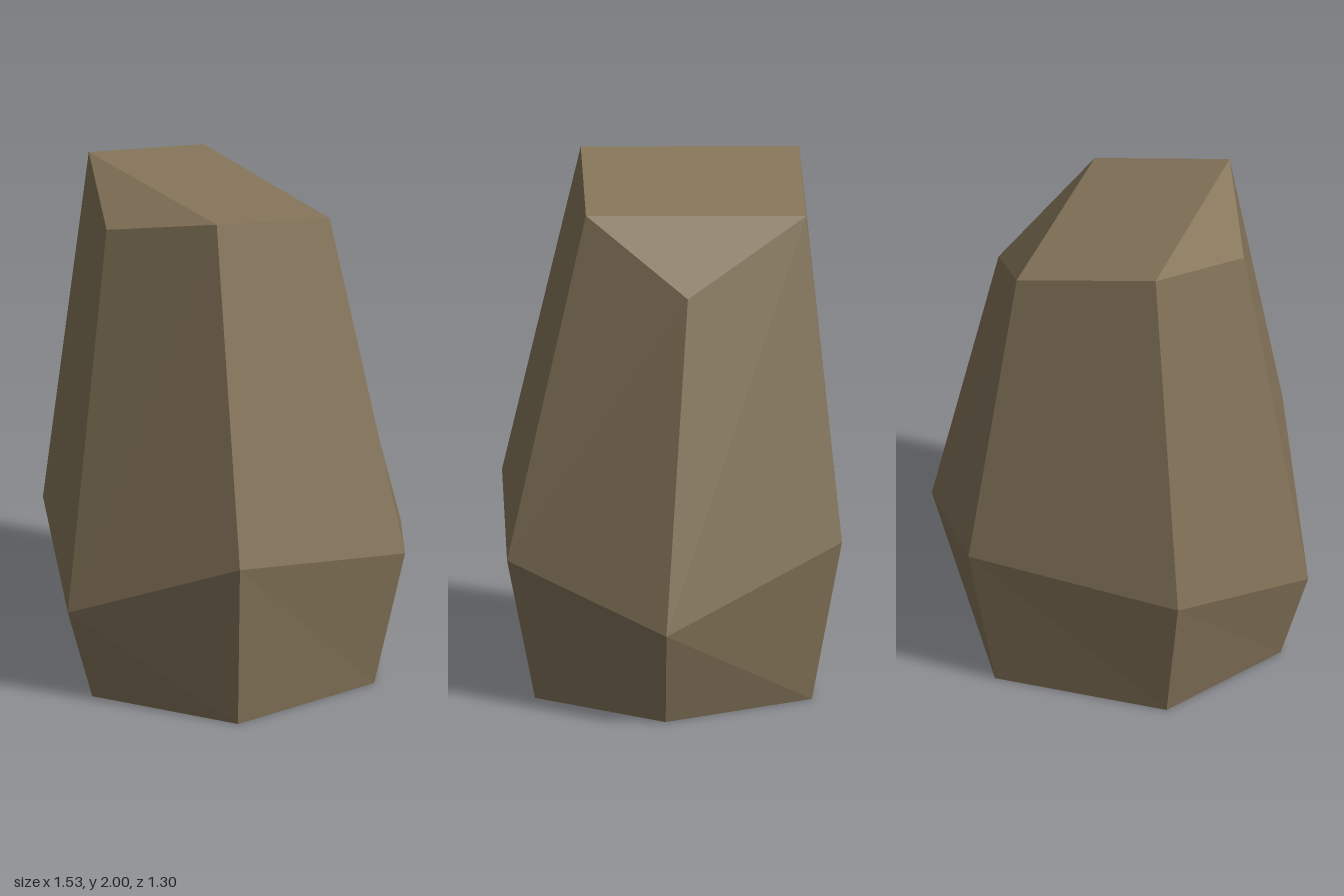
import * as THREE from 'three';

// Rings of six corners, each [x, y, z], running front-left, front-right, +x, back-right, back-left, -x
const bottomRing = [
  [-0.345, 0, 0.535], [0.295, 0, 0.515], [0.625, 0, 0.015],
  [0.295, 0, -0.535], [-0.385, 0, -0.49], [-0.655, 0, 0.01],
];
const middleRing = [
  [-0.415, 0.7, 0.65], [0.365, 0.56, 0.62], [0.763, 0.375, 0.01],
  [0.358, 0.635, -0.65], [-0.47, 0.56, -0.59], [-0.767, 0.375, 0.01],
];
const topRing = [
  [-0.316, 2, 0.35], [0.222, 1.88, 0.323], [0.462, 1.62, -0.067],
  [0.216, 1.88, -0.512], [-0.336, 2, -0.478], [-0.536, 1.88, -0.067],
];

export function createModel() {
  const stone = new THREE.MeshStandardMaterial({ color: 0x85755a });
  stone.name = 'stone brown';

  const positions = [];
  const face = (...corners) => corners.forEach((c) => positions.push(...c));

  // Faceted sides: two bands, each split from its middle corner to the next outer corner
  for (let i = 0; i < 6; i++) {
    const j = (i + 1) % 6;
    face(bottomRing[i], bottomRing[j], middleRing[i]);
    face(bottomRing[j], middleRing[j], middleRing[i]);
    face(middleRing[i], middleRing[j], topRing[j]);
    face(middleRing[i], topRing[j], topRing[i]);
  }

  // Sloping crown with a chipped corner on each side
  for (const [a, b, c] of [[0, 1, 3], [0, 3, 4], [1, 2, 3], [4, 5, 0]]) {
    face(topRing[a], topRing[b], topRing[c]);
  }

  // Flat base
  for (let i = 1; i < 5; i++) face(bottomRing[0], bottomRing[i + 1], bottomRing[i]);

  // Unshared corners give flat facets
  const geometry = new THREE.BufferGeometry();
  geometry.setAttribute('position', new THREE.Float32BufferAttribute(positions, 3));
  geometry.computeVertexNormals();

  const rock = new THREE.Mesh(geometry, stone);
  rock.name = 'rock';

  const group = new THREE.Group();
  group.name = 'standingStone';
  group.add(rock);
  return group;
}
